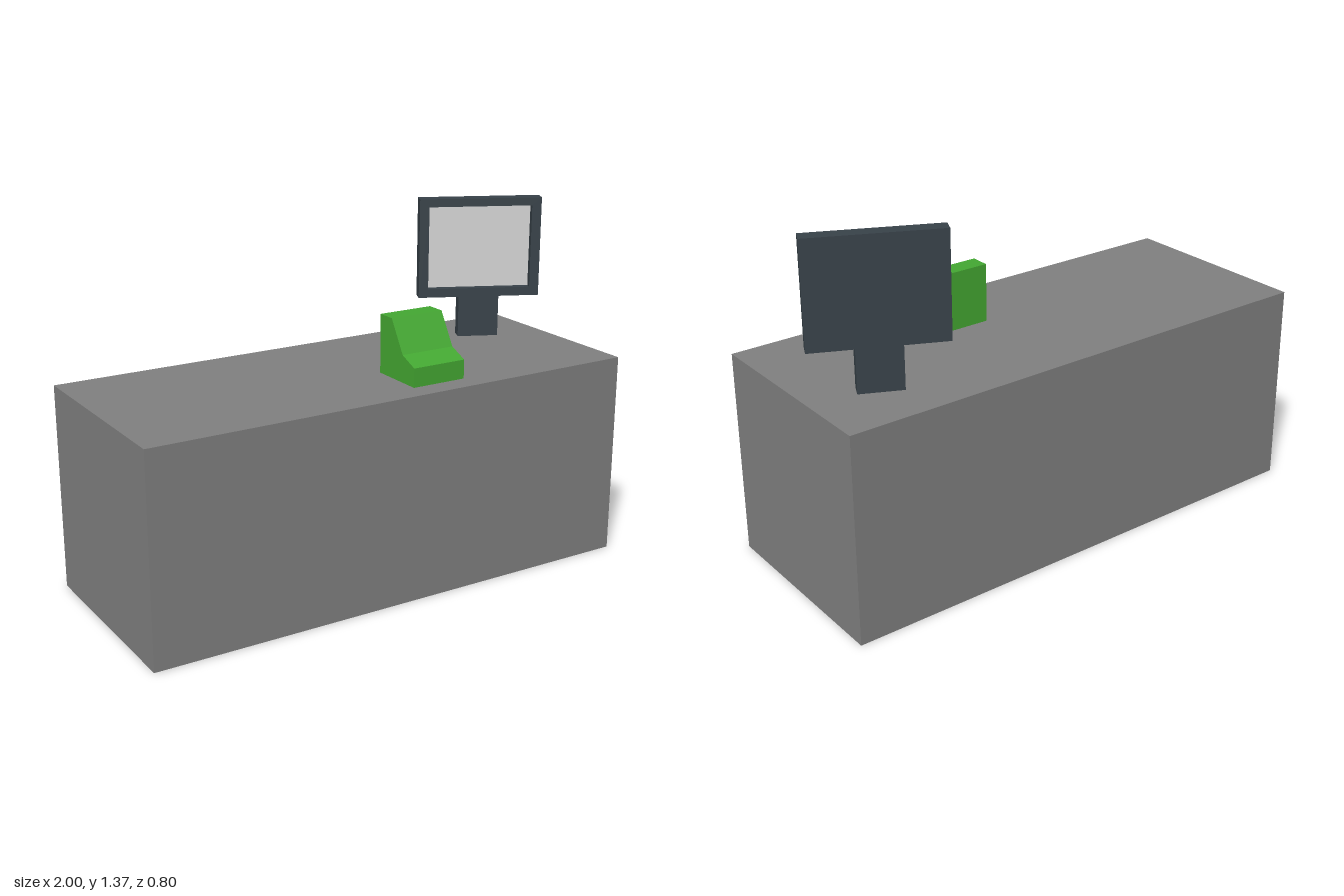
import * as THREE from 'three';

const material = (name, color) => {
  const m = new THREE.MeshStandardMaterial({ color });
  m.name = name;
  return m;
};

function addMesh(parent, name, geometry, mat, x = 0, y = 0, z = 0) {
  const mesh = new THREE.Mesh(geometry, mat);
  mesh.name = name;
  mesh.position.set(x, y, z);
  parent.add(mesh);
  return mesh;
}

// Rectangle path, used for the frame outline and its opening
function rectangle(path, x0, y0, x1, y1) {
  path.moveTo(x0, y0);
  path.lineTo(x1, y0);
  path.lineTo(x1, y1);
  path.lineTo(x0, y1);
  path.closePath();
  return path;
}

export function createModel() {
  const grey = material('counter grey', 0x808080);
  const green = material('terminal green', 0x44a832);
  const dark = material('monitor slate', 0x384249);
  const pale = material('screen pale grey', 0xd4d4d4);

  const model = new THREE.Group();
  model.name = 'checkoutCounter';

  // Counter block
  addMesh(model, 'counter', new THREE.BoxGeometry(2, 0.8, 0.8), grey, 0, 0.4, 0);

  // Card terminal: side profile (z, y) extruded across x
  const profile = new THREE.Shape([
    [0.313, 0], [0.313, 0.073], [0.237, 0.105], [0.163, 0.227], [0.088, 0.227], [0.088, 0],
  ].map(([z, y]) => new THREE.Vector2(-z, y)));
  const terminal = new THREE.ExtrudeGeometry(profile, { depth: 0.222, bevelEnabled: false });
  terminal.rotateY(Math.PI / 2);
  addMesh(model, 'cardTerminal', terminal, green, 0.1, 0.8, 0);

  // Monitor, turned towards the middle of the counter
  const monitor = new THREE.Group();
  monitor.name = 'monitor';
  monitor.position.set(0.735, 0.8, -0.167);
  monitor.rotation.y = -0.44;
  model.add(monitor);

  const w = 0.246, bottom = 0.165, top = 0.565, t = 0.056, recess = 0.035;
  const backDepth = t - recess;
  addMesh(monitor, 'stand', new THREE.BoxGeometry(0.164, bottom, t), dark, 0, bottom / 2, 0);
  addMesh(monitor, 'backPanel', new THREE.BoxGeometry(2 * w, top - bottom, backDepth), dark,
    0, (top + bottom) / 2, -t / 2 + backDepth / 2);

  // Raised frame around the recessed screen
  const outline = rectangle(new THREE.Shape(), -w, bottom, w, top);
  outline.holes.push(rectangle(new THREE.Path(), -w + 0.038, 0.2, w - 0.038, 0.533));
  addMesh(monitor, 'frame', new THREE.ExtrudeGeometry(outline, { depth: recess, bevelEnabled: false }),
    dark, 0, 0, t / 2 - recess);
  addMesh(monitor, 'screen', new THREE.BoxGeometry(2 * w - 0.076, 0.333, 0.004), pale,
    0, 0.3665, t / 2 - recess + 0.002);

  return model;
}
